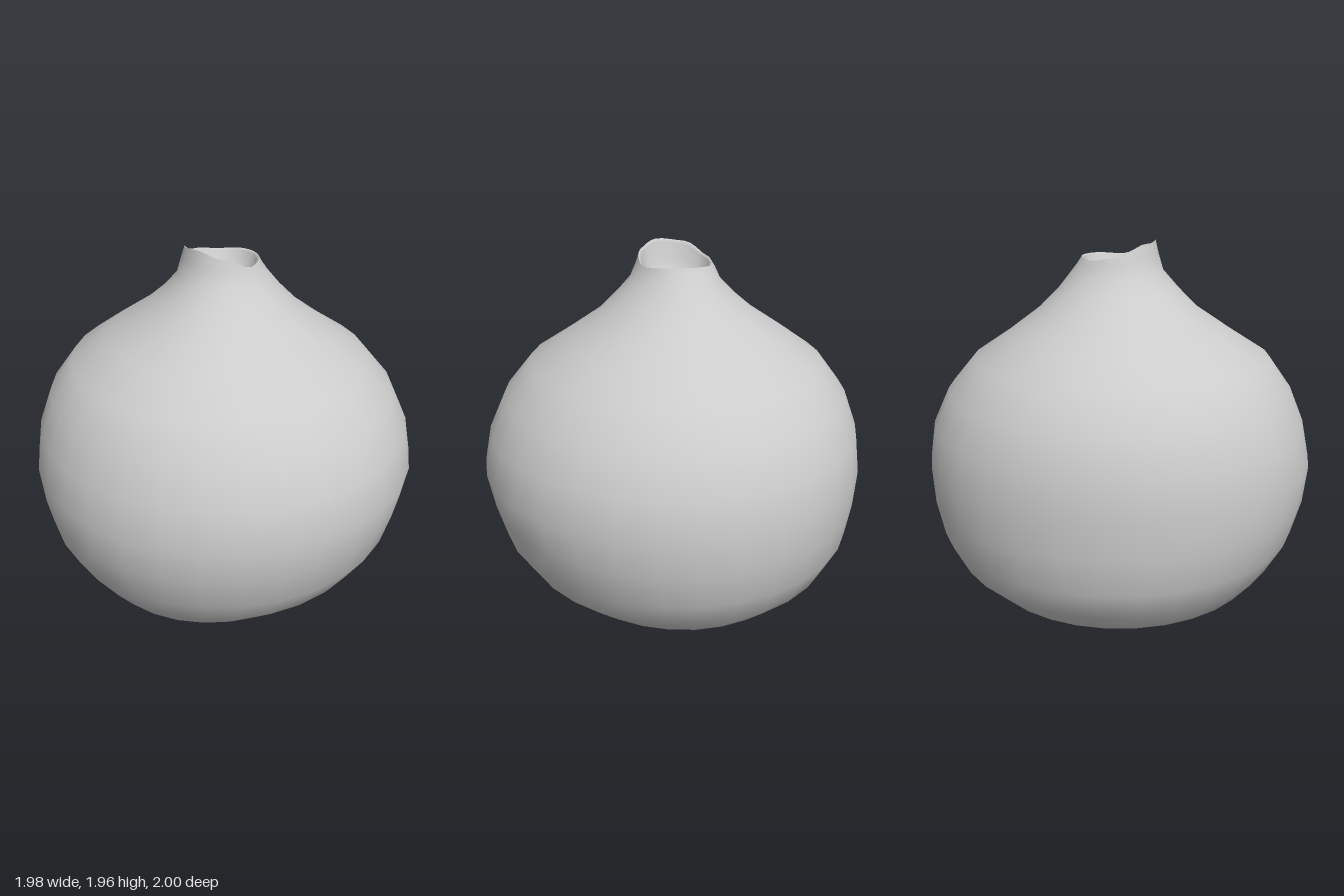
import * as THREE from 'three';

const SIDES = 32;
const CENTRE_X = -0.02;

// Uneven lip height, every 45 degrees from +x through +z
const LIP = [1.87, 1.925, 1.96, 1.945, 1.89, 1.87, 1.88, 1.88];

function lipHeight(angle) {
  const t = (angle / (Math.PI * 2)) * LIP.length;
  const i = Math.floor(t);
  const f = t - i;
  const s = f * f * (3 - 2 * f);
  return THREE.MathUtils.lerp(LIP[i % LIP.length], LIP[(i + 1) % LIP.length], s);
}

// Skin over rings given as [y, reach to +x, -x, +z, -z, share of the lip's unevenness]
function loft(rings) {
  const positions = [];
  const indices = [];
  rings.forEach(([y, right, left, front, back, lip = 0], r) => {
    for (let i = 0; i < SIDES; i++) {
      const a = (i / SIDES) * Math.PI * 2;
      const c = Math.cos(a);
      const s = Math.sin(a);
      const rx = c > 0 ? right - CENTRE_X : left + CENTRE_X;
      const rz = s > 0 ? front : back;
      positions.push(CENTRE_X + c * rx, y + lip * (lipHeight(a) - 1.9), s * rz);
      if (r === 0) continue;
      const n = (i + 1) % SIDES;
      const low = (r - 1) * SIDES;
      const high = r * SIDES;
      indices.push(low + i, high + i, low + n, low + n, high + i, high + n);
    }
  });
  const geometry = new THREE.BufferGeometry();
  geometry.setAttribute('position', new THREE.Float32BufferAttribute(positions, 3));
  geometry.setIndex(indices);
  geometry.computeVertexNormals();
  return geometry;
}

export function createModel() {
  const group = new THREE.Group();
  const material = new THREE.MeshStandardMaterial({ color: 0xcccccc, side: THREE.DoubleSide });
  const add = (name, rings) => {
    const mesh = new THREE.Mesh(loft(rings), material);
    mesh.name = name;
    group.add(mesh);
  };

  // Round bulb, from the dimple underneath up to the torn lip
  add('bulb', [
    [0.03, -0.02, 0.02, 0, 0],
    [0.0, 0.05, 0.09, 0.07, 0.07],
    [0.015, 0.18, 0.23, 0.18, 0.2],
    [0.045, 0.33, 0.43, 0.36, 0.38],
    [0.1, 0.48, 0.6, 0.55, 0.57],
    [0.19, 0.65, 0.75, 0.74, 0.73],
    [0.32, 0.8, 0.88, 0.84, 0.87],
    [0.48, 0.9, 0.96, 0.93, 0.95],
    [0.66, 0.95, 0.975, 0.98, 0.99],
    [0.85, 0.985, 0.99, 1, 1],
    [1.04, 0.945, 0.97, 0.96, 0.97],
    [1.22, 0.86, 0.91, 0.885, 0.885],
    [1.38, 0.72, 0.79, 0.77, 0.75],
    [1.5, 0.54, 0.62, 0.58, 0.57],
    [1.62, 0.37, 0.44, 0.4, 0.41],
    [1.72, 0.27, 0.32, 0.3, 0.31],
    [1.8, 0.2, 0.245, 0.22, 0.25, 0.2],
    [1.86, 0.17, 0.225, 0.195, 0.21, 0.6],
    [1.9, 0.155, 0.205, 0.18, 0.19, 1],
  ]);

  // Shallow hollow inside the neck
  add('neckHollow', [
    [1.9, 0.155, 0.205, 0.18, 0.19, 1],
    [1.89, 0.14, 0.19, 0.165, 0.175, 0.9],
    [1.83, 0.13, 0.18, 0.155, 0.165, 0.4],
    [1.78, 0.09, 0.13, 0.11, 0.12],
    [1.76, -0.02, 0.02, 0, 0],
  ]);

  return group;
}
